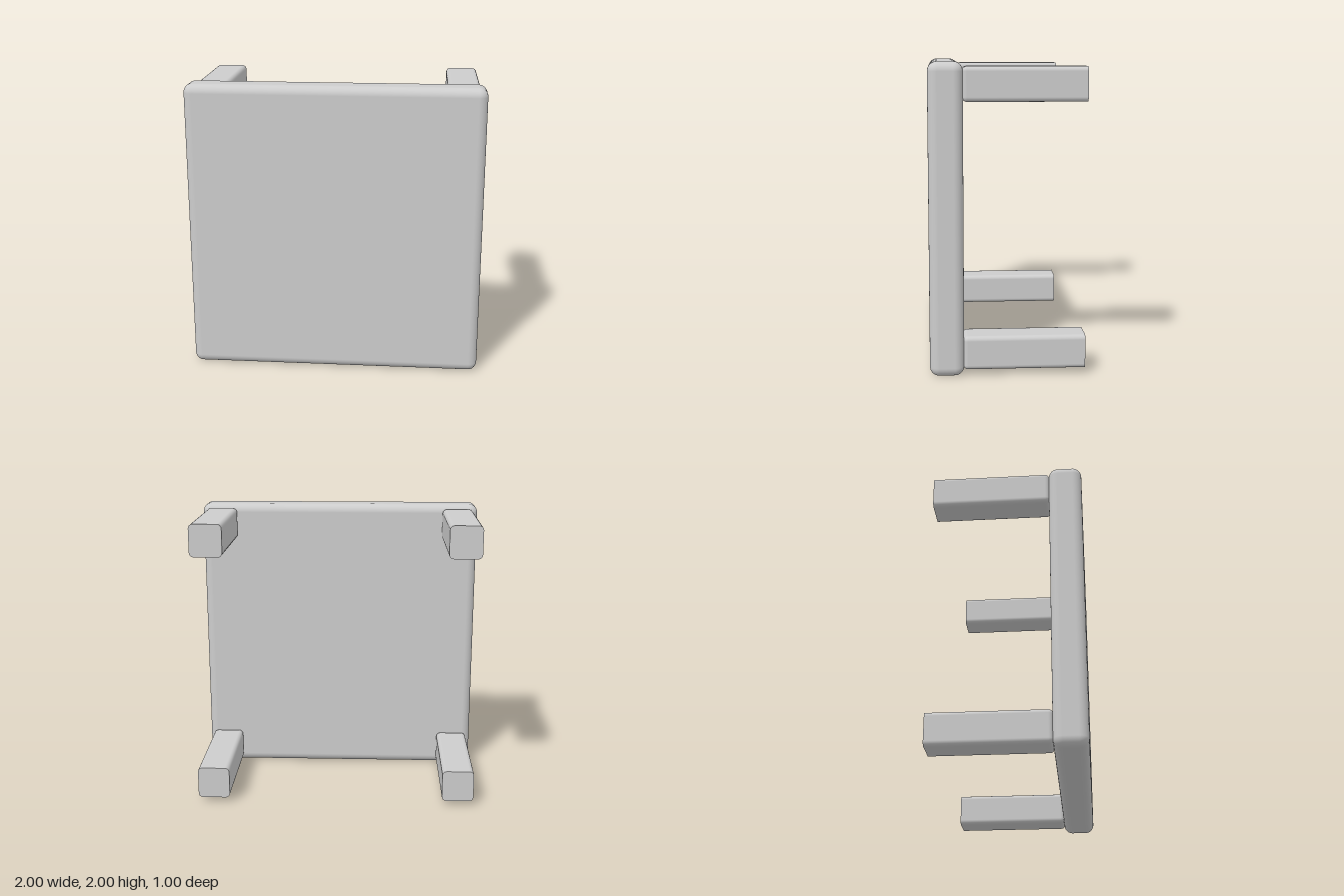
import * as THREE from 'three';
import { RoundedBoxGeometry } from 'three/addons/geometries/RoundedBoxGeometry.js';

// Rounded bar along z: soft edges and front end, back end cut off flat
function legGeometry(width, zBack, zFront, radius) {
  const length = zFront - zBack + radius;
  const geometry = new RoundedBoxGeometry(width, width, length, 4, radius);
  geometry.translate(0, 0, zFront - length / 2);
  const pos = geometry.attributes.position;
  const normal = geometry.attributes.normal;
  for (let i = 0; i < pos.count; i++) pos.setZ(i, Math.max(pos.getZ(i), zBack));
  for (let i = 0; i < pos.count; i += 3) {
    const corners = [i, i + 1, i + 2];
    if (corners.every((c) => pos.getZ(c) < zBack + 1e-4)) {
      corners.forEach((c) => normal.setXYZ(c, 0, 0, -1));
    }
  }
  return geometry;
}

export function createModel() {
  const model = new THREE.Group();
  model.name = 'table';

  const grey = new THREE.MeshStandardMaterial({ color: 0xcccccc });
  grey.name = 'grey';

  // Square top, standing upright and facing the front
  const top = new THREE.Mesh(new RoundedBoxGeometry(2, 2, 0.22, 6, 0.06), grey);
  top.name = 'tableTop';
  top.position.set(0, 1, 0.39);
  model.add(top);

  // Four legs pointing backwards from the corners
  const geometry = legGeometry(0.22, -0.5, 0.285, 0.03);
  for (const [side, x] of [['left', 0.855], ['right', -0.855]]) {
    for (const [level, y] of [['Upper', 1.86], ['Lower', 0.145]]) {
      const leg = new THREE.Mesh(geometry, grey);
      leg.name = `${side}${level}Leg`;
      leg.position.set(x, y, 0);
      model.add(leg);
    }
  }
  return model;
}
